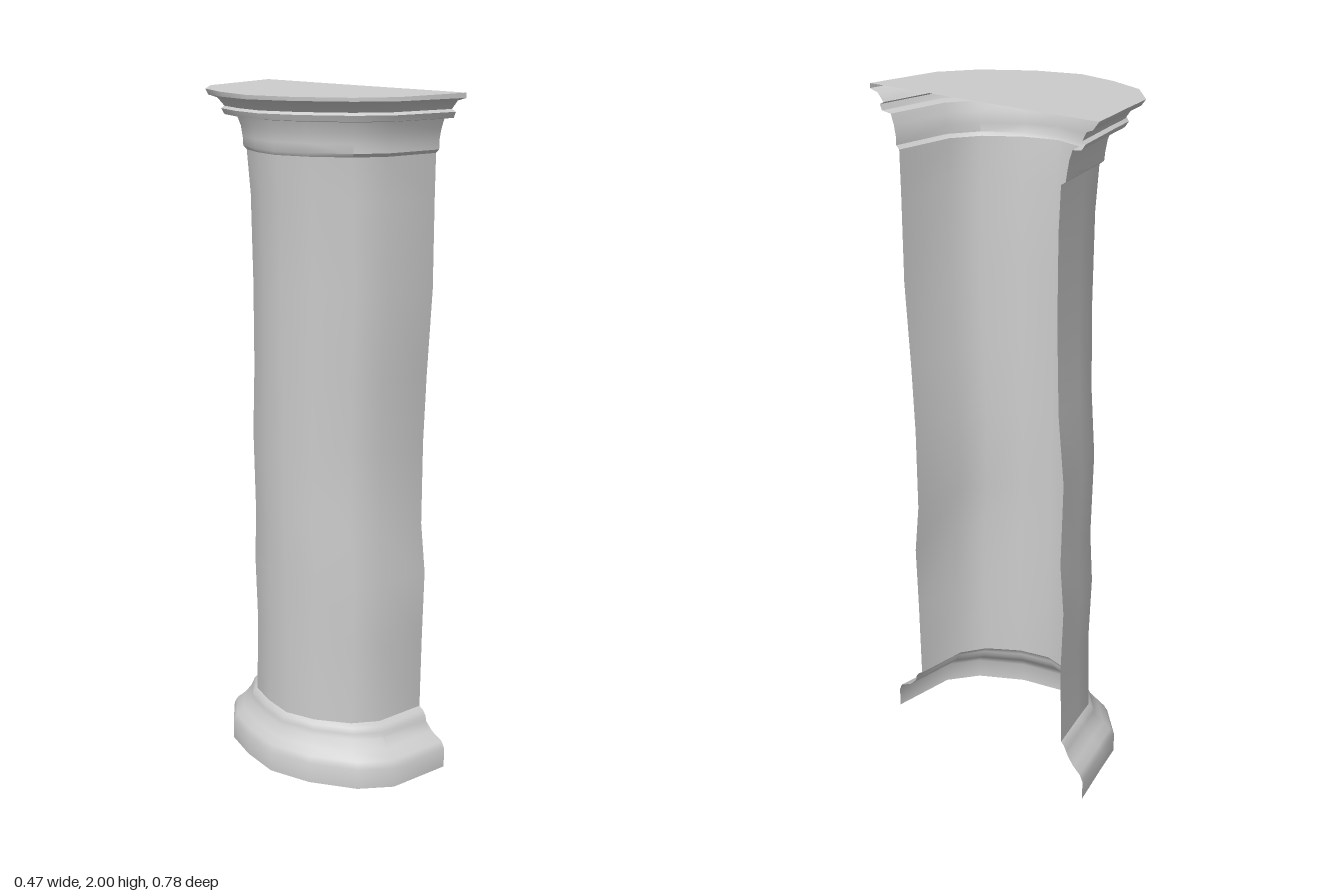
import * as THREE from 'three';
import { toCreasedNormals } from 'three/addons/utils/BufferGeometryUtils.js';

const CUT = 0.233; // plane where the half column is cut open

// Plan of the half column: u = reach away from the cut (0..1), w = width (-1..1)
const plan = [
  [0.233, -0.39], [0.05, -0.342], [-0.06, -0.315], [-0.16, -0.22], [-0.208, -0.1], [-0.234, 0.03],
  [-0.195, 0.165], [-0.107, 0.298], [-0.003, 0.366], [0.233, 0.387],
].map(([x, z]) => [(CUT - x) / 0.467, z / 0.389]);

// Rows of [height, leftmost x, front z, back z]
const baseRows = [
  [0, -0.16, 0.375, 0.37], [0.06, -0.16, 0.375, 0.37], [0.08, -0.15, 0.365, 0.36],
  [0.1, -0.13, 0.325, 0.335], [0.125, -0.108, 0.3, 0.315], [0.14, -0.104, 0.298, 0.308],
  [0.155, -0.1, 0.288, 0.3], [0.165, -0.088, 0.272, 0.29],
];
const shaftRows = [
  [0.165, -0.088, 0.272, 0.29], [0.4, -0.085, 0.275, 0.285], [0.6, -0.09, 0.28, 0.294],
  [0.75, -0.092, 0.262, 0.282], [1.0, -0.096, 0.262, 0.291], [1.2, -0.1, 0.27, 0.272],
  [1.45, -0.105, 0.285, 0.266], [1.7, -0.112, 0.284, 0.268], [1.825, -0.124, 0.285, 0.275],
];
const capitalRows = [
  [1.825, -0.124, 0.285, 0.275], [1.835, -0.13, 0.296, 0.29], [1.86, -0.13, 0.296, 0.294],
  [1.89, -0.134, 0.302, 0.3], [1.918, -0.145, 0.312, 0.31], [1.922, -0.183, 0.345, 0.338],
  [1.938, -0.19, 0.352, 0.35], [1.945, -0.182, 0.338, 0.34], [1.968, -0.205, 0.358, 0.352],
  [1.976, -0.232, 0.388, 0.372],
];

const section = ([y, left, front, back]) =>
  plan.map(([u, w]) => [CUT - u * (CUT - left), y, w * (w > 0 ? front : back)]);

// The top rim tilts slightly
const rim = section([0, -0.234, 0.387, 0.39])
  .map(([x, , z]) => [x, 1.991 + 0.014 * x - 0.012 * z, z]);

// Skin a stack of equal-length sections
function loft(sections) {
  const n = plan.length, index = [];
  for (let r = 0; r < sections.length - 1; r++) {
    for (let i = 0; i < n - 1; i++) {
      const a = r * n + i, c = a + n;
      index.push(a, a + 1, c, a + 1, c + 1, c);
    }
  }
  return build(sections.flat(2), index);
}

function build(points, index) {
  const g = new THREE.BufferGeometry();
  g.setAttribute('position', new THREE.Float32BufferAttribute(points, 3));
  g.setIndex(index);
  return toCreasedNormals(g, 0.75);
}

export function createModel() {
  const stone = new THREE.MeshStandardMaterial({ color: 0xcccccc, side: THREE.DoubleSide });
  stone.name = 'pale grey stone';
  const group = new THREE.Group();
  group.name = 'halfColumn';
  const add = (name, geometry) => {
    const mesh = new THREE.Mesh(geometry, stone);
    mesh.name = name;
    group.add(mesh);
  };

  // Open shell: moulded base, slightly uneven shaft, stepped capital
  add('base', loft(baseRows.map(section)));
  add('shaft', loft(shaftRows.map(section)));
  add('capital', loft([...capitalRows.map(section), rim]));

  // Flat lid closing the top, fanned from the middle of the cut edge
  const fan = [];
  for (let i = 1; i < plan.length; i++) fan.push(0, i, i + 1);
  add('topSlab', build([CUT, 1.994, 0, ...rim.flat()], fan));

  return group;
}
